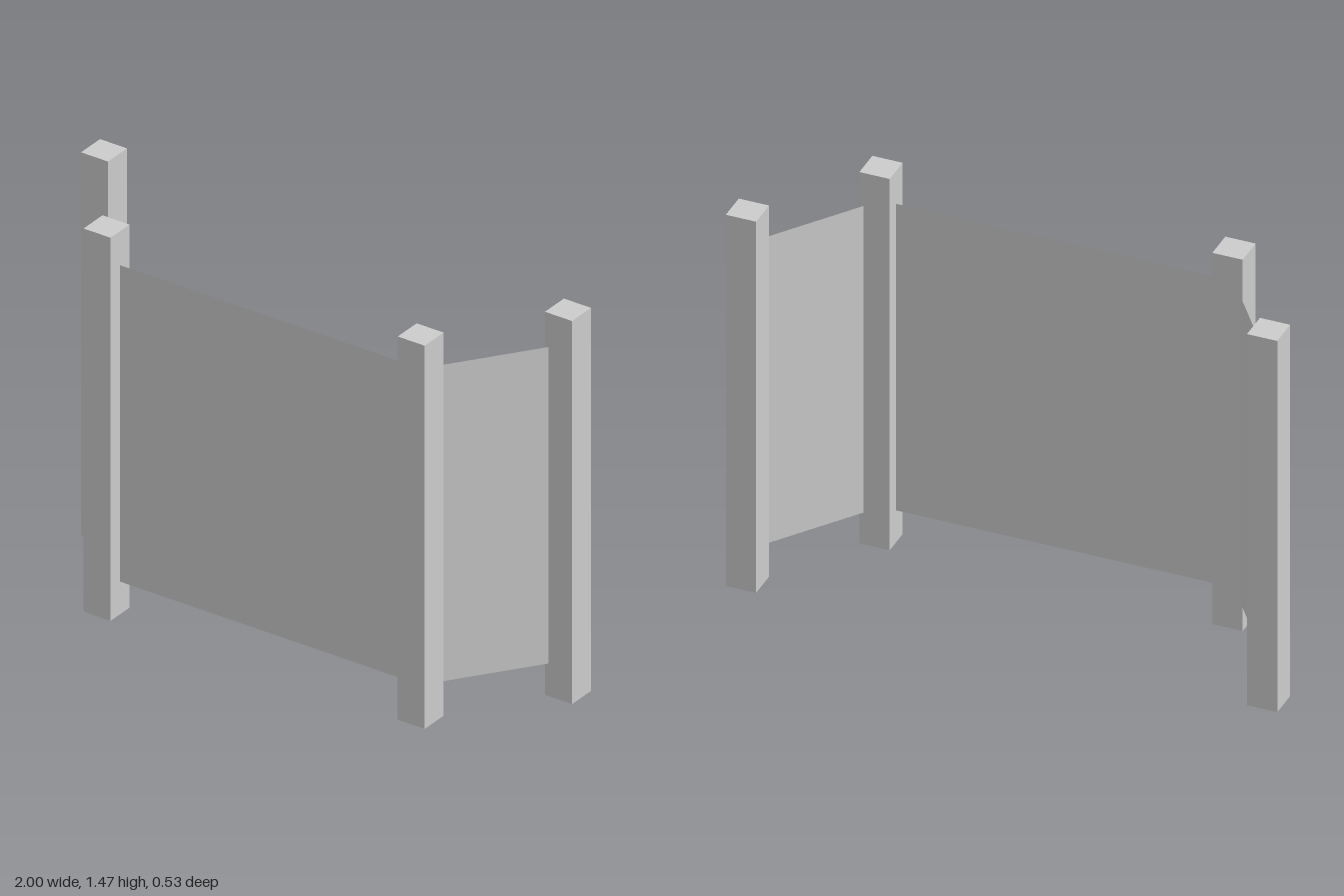
import * as THREE from 'three';

const POST = { width: 0.11, height: 1.465 };
const PANEL = { bottom: 0.125, top: 1.335 };

export function createModel() {
  const model = new THREE.Group();
  model.name = 'foldingScreen';

  const postMaterial = new THREE.MeshStandardMaterial({ color: 0xcccccc });
  postMaterial.name = 'light grey';
  // panels are thin sheets, seen from both sides
  const panelMaterial = new THREE.MeshStandardMaterial({ color: 0xcccccc, side: THREE.DoubleSide });
  panelMaterial.name = 'light grey sheet';

  // post centres in plan (x, z), from the right end round to the left end
  const corners = [[-0.945, -0.21], [-0.64, 0.21], [0.64, 0.21], [0.945, -0.21]];
  const postNames = ['rightBackPost', 'rightFrontPost', 'leftFrontPost', 'leftBackPost'];
  const panelNames = ['rightPanel', 'middlePanel', 'leftPanel'];

  // square posts
  const postGeometry = new THREE.BoxGeometry(POST.width, POST.height, POST.width);
  corners.forEach(([x, z], i) => {
    const post = new THREE.Mesh(postGeometry, postMaterial);
    post.name = postNames[i];
    post.position.set(x, POST.height / 2, z);
    model.add(post);
  });

  // flat panels stretched between neighbouring post centres
  panelNames.forEach((name, i) => {
    const [x0, z0] = corners[i];
    const [x1, z1] = corners[i + 1];
    const length = Math.hypot(x1 - x0, z1 - z0);
    const panel = new THREE.Mesh(new THREE.PlaneGeometry(length, PANEL.top - PANEL.bottom), panelMaterial);
    panel.name = name;
    panel.position.set((x0 + x1) / 2, (PANEL.top + PANEL.bottom) / 2, (z0 + z1) / 2);
    panel.rotation.y = -Math.atan2(z1 - z0, x1 - x0);
    model.add(panel);
  });

  return model;
}
